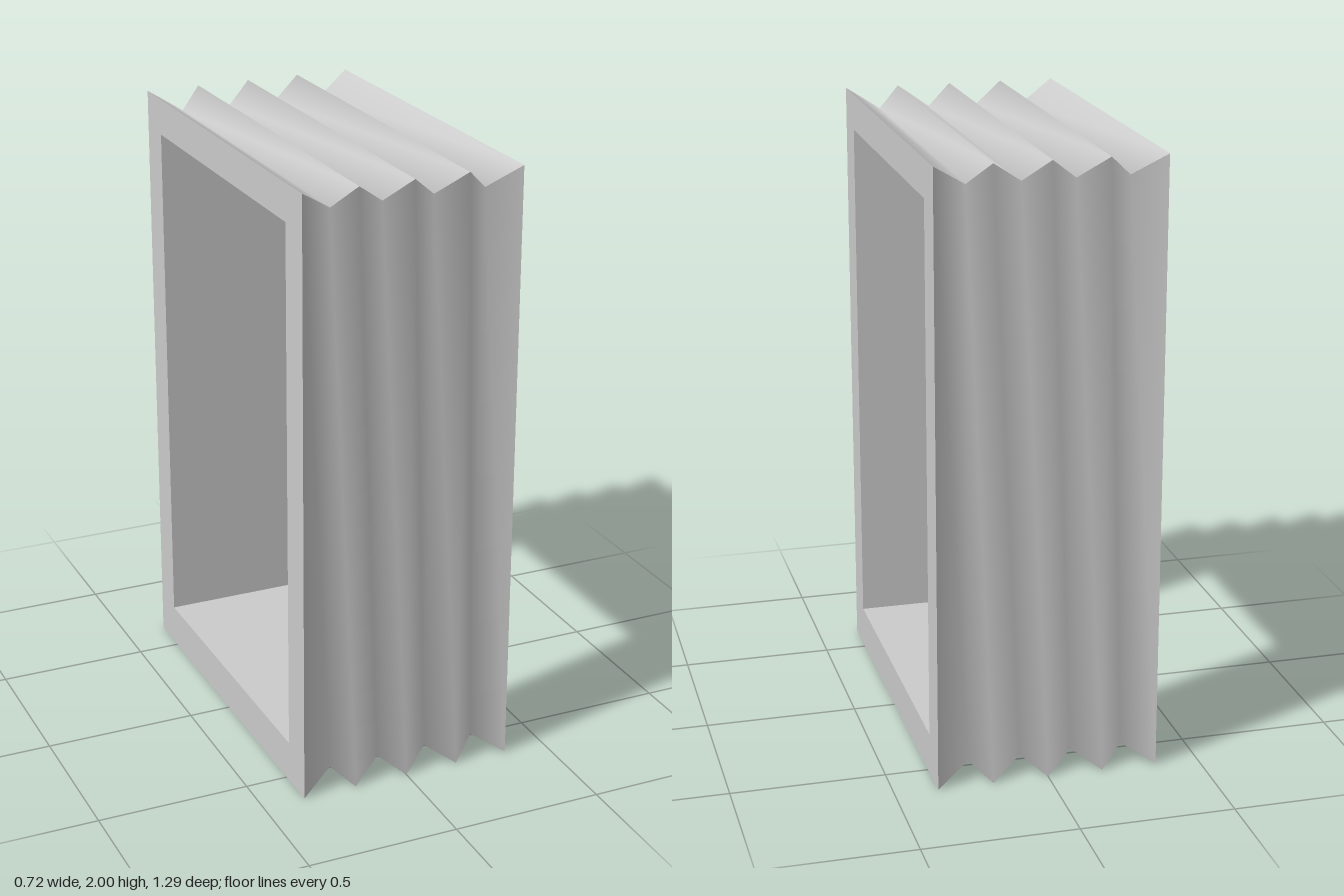
import * as THREE from 'three';

const material = new THREE.MeshStandardMaterial({ color: 0xcccccc });

// Rectangular cross-section in the plane x, given by its y and z limits
const section = (x, y0, y1, z0, z1) => [[x, y0, z1], [x, y1, z1], [x, y1, z0], [x, y0, z0]];

// Joins rectangular sections; each of the four sides is smooth along its length, with sharp corners between sides
function loft(name, sections) {
  const positions = [], indices = [];
  for (let side = 0; side < 4; side++) {
    const base = positions.length / 3;
    sections.forEach((s, i) => {
      positions.push(...s[side], ...s[(side + 1) % 4]);
      if (i === 0) return;
      const a = base + 2 * (i - 1);
      indices.push(a, a + 2, a + 1, a + 1, a + 2, a + 3);
    });
  }
  const geometry = new THREE.BufferGeometry();
  geometry.setAttribute('position', new THREE.Float32BufferAttribute(positions, 3));
  geometry.setIndex(indices);
  geometry.computeVertexNormals();
  const mesh = new THREE.Mesh(geometry, material);
  mesh.name = name;
  return mesh;
}

export function createModel() {
  const group = new THREE.Group();
  group.name = 'bellows';
  const half = 0.36;

  // Pleats alternate between ridges (even) and valleys (odd)
  const pleats = [-half, -0.253, -0.18, -0.085, 0, 0.083, 0.18, 0.253, half].map((x, i) => {
    const dy = i % 2 ? 0.067 : 0, dz = i % 2 ? 0.043 : 0;
    return section(x, dy, 2 - dy, -0.643 + dz, 0.643 - dz);
  });

  // Straight rectangular opening through the bellows
  const opening = (x) => section(x, 0.137, 1.88, -0.524, 0.52);

  group.add(
    loft('pleatedOuterWall', pleats),
    loft('innerWall', [opening(half), opening(-half)]),
    loft('rightEndFrame', [opening(-half), pleats[0]]),
    loft('leftEndFrame', [pleats[8], opening(half)])
  );
  return group;
}
